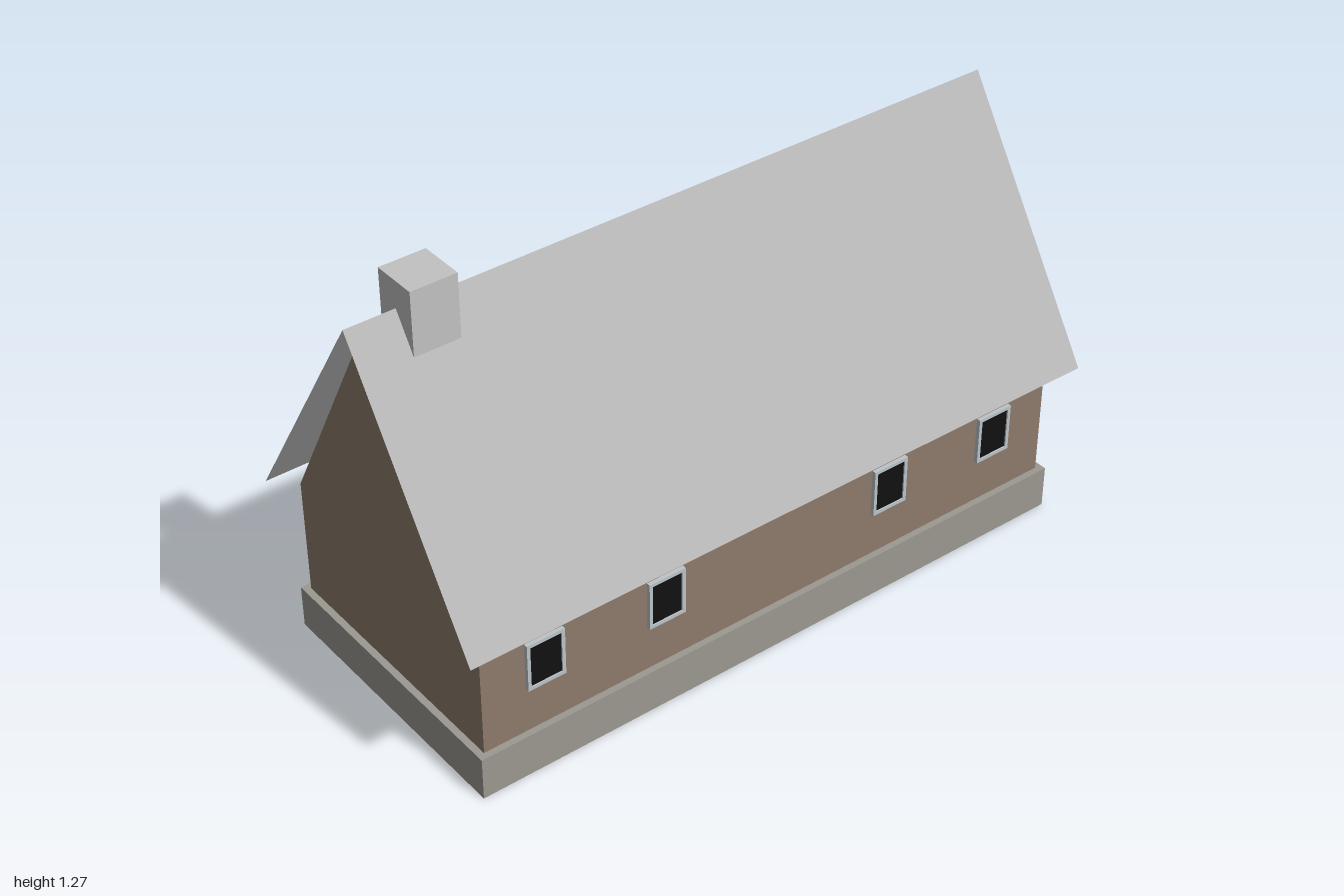
import * as THREE from 'three';

const mat = (name, color, side = THREE.FrontSide) => {
  const m = new THREE.MeshStandardMaterial({ color, side });
  m.name = name;
  return m;
};

export function createModel() {
  const house = new THREE.Group();
  house.name = 'house';

  const wallMat = mat('brown wall', 0x8e7b6c, THREE.DoubleSide);
  const roofMat = mat('grey roof', 0xb6b6b6, THREE.DoubleSide);
  const stoneMat = mat('foundation stone', 0x9c9991);
  const chimneyMat = mat('chimney grey', 0xc2c2c2);
  const frameMat = mat('window frame', 0xbcc4c8);
  const glassMat = mat('dark glass', 0x111111);

  const add = (name, geometry, material, x = 0, y = 0, z = 0, parent = house) => {
    const mesh = new THREE.Mesh(geometry, material);
    mesh.name = name;
    mesh.position.set(x, y, z);
    parent.add(mesh);
    return mesh;
  };

  const W = 0.4, L = 0.935;             // wall half width and half length
  const base = 0.127, eave = 0.475, ridge = 1.195;
  const roofHalf = 0.464;

  // Foundation
  add('foundation', new THREE.BoxGeometry(0.838, base, 1.91), stoneMat, 0, base / 2, 0);

  // Gable walls, front and back
  const gable = new THREE.Shape([
    [-W, base], [W, base], [W, eave], [0, ridge - 0.003], [-W, eave],
  ].map(([x, y]) => new THREE.Vector2(x, y)));
  add('frontGable', new THREE.ShapeGeometry(gable), wallMat, 0, 0, L);
  add('backGable', new THREE.ShapeGeometry(gable), wallMat, 0, 0, -L).rotation.y = Math.PI;

  for (const s of [1, -1]) {
    const side = s > 0 ? 'left' : 'right';

    // Side wall, open to the attic under the eave
    add(side + 'Wall', new THREE.PlaneGeometry(2 * L, eave - base), wallMat,
      s * W, (eave + base) / 2, 0).rotation.y = s * Math.PI / 2;

    // Thin roof slope overhanging the walls
    const slope = new THREE.PlaneGeometry(2, Math.hypot(roofHalf, ridge - eave));
    slope.rotateX(-Math.atan2(roofHalf, ridge - eave));
    slope.rotateY(s * Math.PI / 2);
    add(side + 'RoofSlope', slope, roofMat, s * roofHalf / 2, (ridge + eave) / 2, 0);

    // Windows: raised frame around a slightly recessed pane
    for (const z of [0.747, 0.373, -0.373, -0.747]) {
      const win = new THREE.Group();
      win.name = side + 'Window';
      win.position.set(s * W, 0.335, z);
      house.add(win);
      for (const e of [1, -1]) {
        add('frameRail', new THREE.BoxGeometry(0.024, 0.01, 0.114), frameMat, 0, e * 0.067, 0, win);
        add('frameStile', new THREE.BoxGeometry(0.024, 0.124, 0.01), frameMat, 0, 0, e * 0.052, win);
      }
      add('pane', new THREE.BoxGeometry(0.008, 0.124, 0.094), glassMat, s * 0.004, 0, 0, win);
    }
  }

  // Door in the middle of one long side
  add('door', new THREE.BoxGeometry(0.016, 0.32, 0.155), wallMat, -W, base + 0.16, -0.005);

  // Chimney through the ridge
  add('chimney', new THREE.BoxGeometry(0.134, 1.148, 0.134), chimneyMat, 0, base + 0.574, 0.787);

  return house;
}
